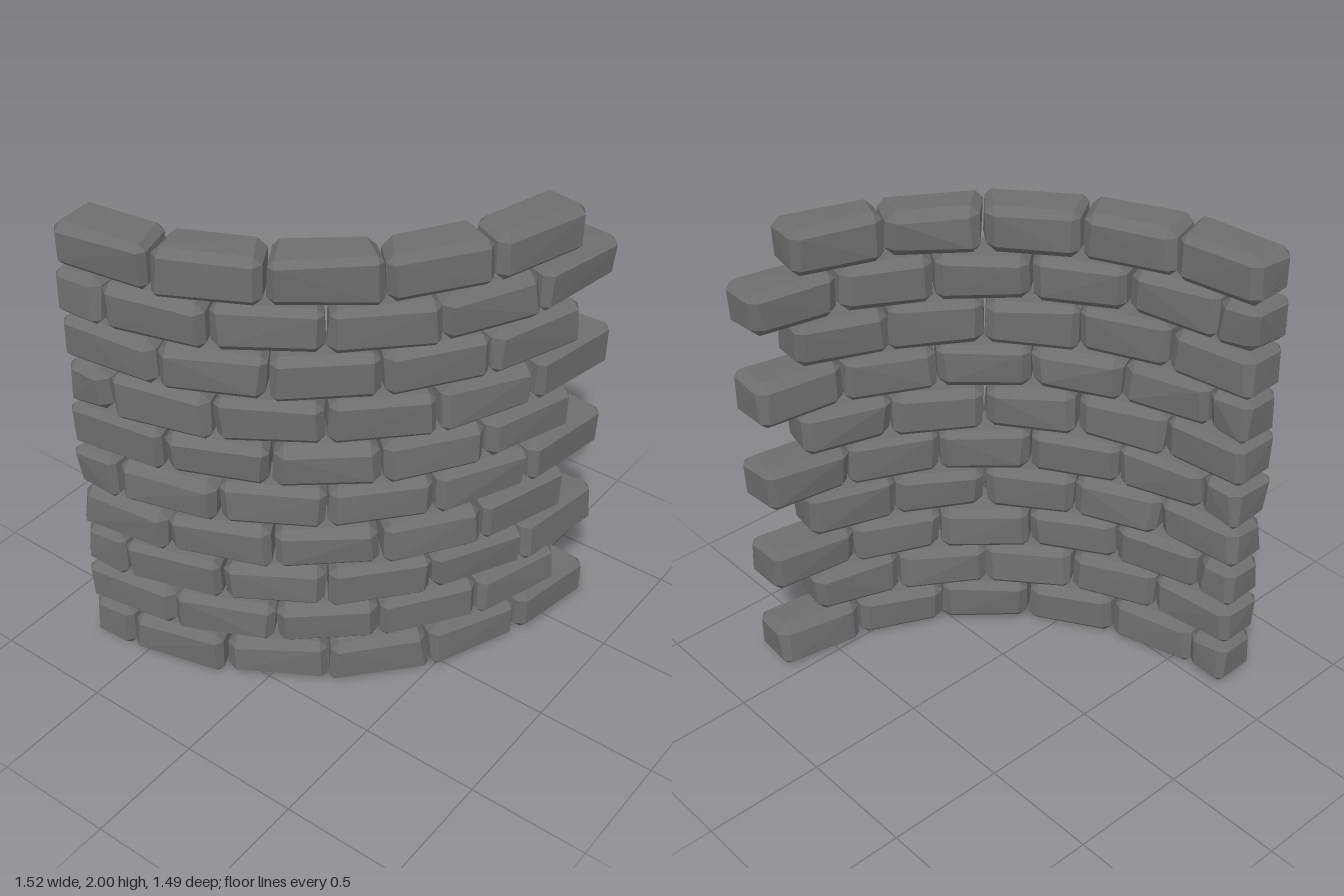
import * as THREE from 'three';
import { ConvexGeometry } from 'three/addons/geometries/ConvexGeometry.js';

// Curved wall layout
const CENTRE_X = -0.765, CENTRE_Z = -0.775;
const R_INNER = 1.313, R_OUTER = 1.516;
const PITCH = THREE.MathUtils.degToRad(16.13); // angle of one full brick
const ROWS = 10, ROW_HEIGHT = 0.2;

// Small seeded random generator
function makeRandom(seed) {
  return () => {
    seed = (seed * 16807) % 2147483647;
    return seed / 2147483647;
  };
}

// Wedge-shaped brick with chamfered, slightly uneven corners
function brickGeometry(a0, a1, y0, y1, rand) {
  const jitter = (amount) => (rand() - 0.5) * 2 * amount;
  const points = [];
  for (const sa of [-1, 1]) for (const sy of [-1, 1]) for (const sr of [-1, 1]) {
    const radius = (sr < 0 ? R_INNER : R_OUTER) + jitter(0.008);
    const y = (sy < 0 ? y0 : y1) + jitter(0.006);
    const angle = (sa < 0 ? a0 : a1) + jitter(0.007) / radius;
    const c = 0.031 + jitter(0.008);
    // Each corner becomes three points, one on every adjoining face
    for (let face = 0; face < 3; face++) {
      const a = angle - (face === 0 ? 0 : sa * c / radius);
      const h = y - (face === 1 ? 0 : sy * c);
      const r = radius - (face === 2 ? 0 : sr * c);
      points.push(new THREE.Vector3(
        CENTRE_X + r * Math.sin(a),
        THREE.MathUtils.clamp(h, 0, 2),
        CENTRE_Z + r * Math.cos(a)));
    }
  }
  return new ConvexGeometry(points);
}

export function createModel() {
  const wall = new THREE.Group();
  wall.name = 'curvedBrickWall';
  const stone = new THREE.MeshStandardMaterial({ color: 0x6e6e6e });
  stone.name = 'grey stone';
  stone.flatShading = true;
  const rand = makeRandom(4217);
  const gap = 0.004; // half joint, in radians

  for (let row = 0; row < ROWS; row++) {
    const course = new THREE.Group();
    course.name = `course${row + 1}`;
    const y = row * ROW_HEIGHT + 0.103;

    const addBrick = (name, start, end) => {
      const mesh = new THREE.Mesh(
        brickGeometry(start * PITCH + gap, end * PITCH - gap, y - 0.097, y + 0.095, rand), stone);
      mesh.name = name;
      course.add(mesh);
    };

    // Every other course begins with a half brick, so its far end juts out
    const offset = row % 2 === 0 ? 0.5 : 0;
    if (offset) addBrick('halfBrick', 0, 0.5);
    for (let i = 0; i < 5; i++) addBrick(`brick${i + 1}`, offset + i, offset + i + 1);
    wall.add(course);
  }
  return wall;
}
